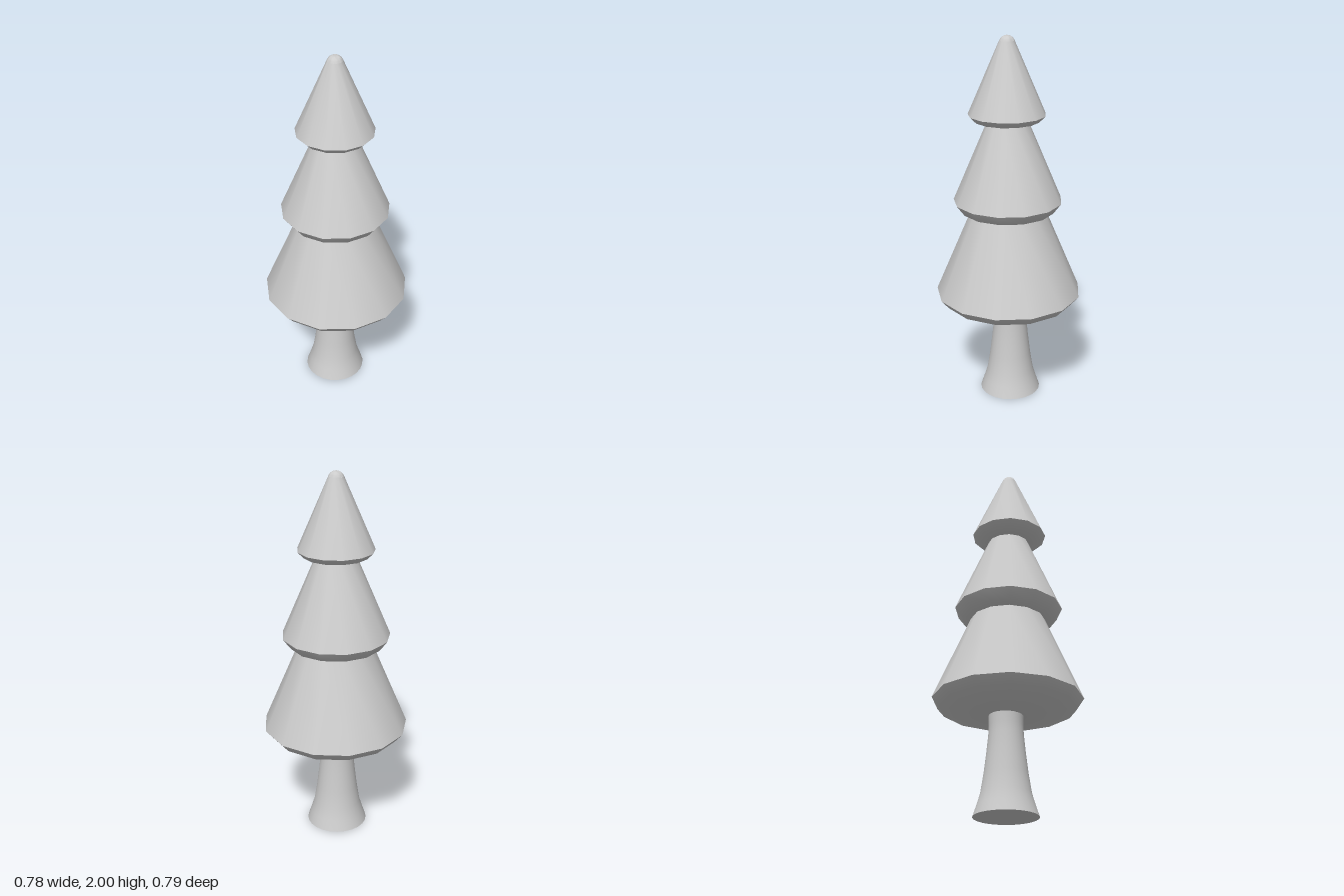
import * as THREE from 'three';
import { toCreasedNormals } from 'three/addons/utils/BufferGeometryUtils.js';

const material = new THREE.MeshStandardMaterial({ color: 0xcccccc });

// Turned part from [radius, height] points, with a corner on the +x side
function turned(name, profile, sides, crease, x, z) {
  const points = profile.map(([r, y]) => new THREE.Vector2(r, y));
  const geometry = new THREE.LatheGeometry(points, sides).rotateY(Math.PI / 2);
  const mesh = new THREE.Mesh(toCreasedNormals(geometry, crease), material);
  mesh.name = name;
  mesh.position.set(x, 0, z);
  return mesh;
}

export function createModel() {
  const tree = new THREE.Group();
  tree.name = 'pineTree';

  // Trunk flaring towards the ground
  tree.add(turned('trunk', [
    [0, 0], [0.167, 0], [0.147, 0.06], [0.129, 0.12], [0.113, 0.22], [0.1, 0.33],
    [0.091, 0.42], [0.089, 0.47], [0.091, 0.54],
  ], 24, 0.8, -0.006, -0.013));

  // Foliage tiers: thirteen-sided cones with a bevelled rim and shallow underside
  tree.add(turned('lowerFoliage', [
    [0, 0.518], [0.09, 0.52], [0.355, 0.562], [0.396, 0.61], [0.203, 1.066], [0.19, 1.097], [0, 1.097],
  ], 13, 0.85, -0.006, 0));
  tree.add(turned('middleFoliage', [
    [0, 1.064], [0.19, 1.066], [0.25, 1.076], [0.291, 1.13], [0.112, 1.55], [0.1, 1.578], [0, 1.578],
  ], 13, 0.85, -0.011, 0));
  tree.add(turned('upperFoliage', [
    [0, 1.547], [0.115, 1.549], [0.172, 1.563], [0.2045, 1.595], [0.04, 1.972],
  ], 13, 0.85, -0.014, 0.003));

  // Rounded tip
  const dome = [];
  for (let i = 0; i <= 6; i++) {
    const a = 1.22 * (1 - i / 6);
    dome.push([0.0425 * Math.sin(a), 1.9575 + 0.0425 * Math.cos(a)]);
  }
  tree.add(turned('tip', dome, 26, 0.8, -0.014, 0.003));

  return tree;
}
